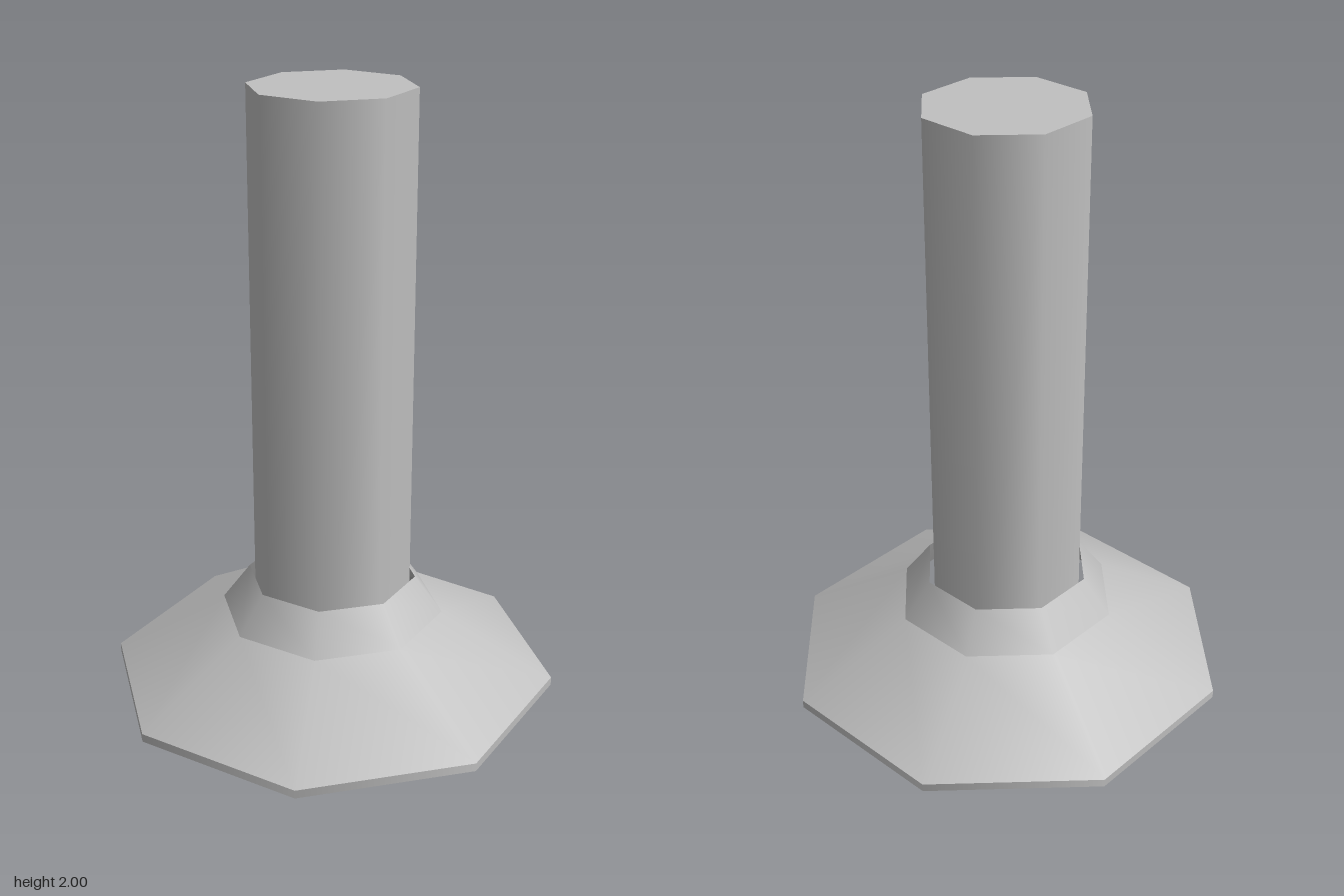
import * as THREE from 'three';

const SIDES = 8;

export function createModel() {
  const model = new THREE.Group();
  model.name = 'flangedPost';
  const grey = new THREE.MeshStandardMaterial({ color: 0xc0c0c0 });
  grey.name = 'plain grey';

  // Eight-sided post, smooth around, with flat caps
  const post = new THREE.Mesh(new THREE.CylinderGeometry(0.262, 0.262, 2, SIDES), grey);
  post.name = 'post';
  post.position.y = 1;
  model.add(post);

  // Hollow flange: each band of the closed profile keeps its own normals,
  // so the bands meet in sharp edges. Upward bands face out, downward ones face in.
  const flange = new THREE.Group();
  flange.name = 'flange';
  const profile = [
    ['rim', 0.748, 0],
    ['skirt', 0.748, 0.028],
    ['collar', 0.372, 0.25],
    ['innerCollar', 0.28, 0.375],
    ['innerSkirt', 0.355, 0.235],
    ['rimUnderside', 0.72, 0],
  ];
  profile.forEach(([name, r, y], i) => {
    const [, r2, y2] = profile[(i + 1) % profile.length];
    const points = [new THREE.Vector2(r, y), new THREE.Vector2(r2, y2)];
    const band = new THREE.Mesh(new THREE.LatheGeometry(points, SIDES), grey);
    band.name = name;
    flange.add(band);
  });
  model.add(flange);

  return model;
}
